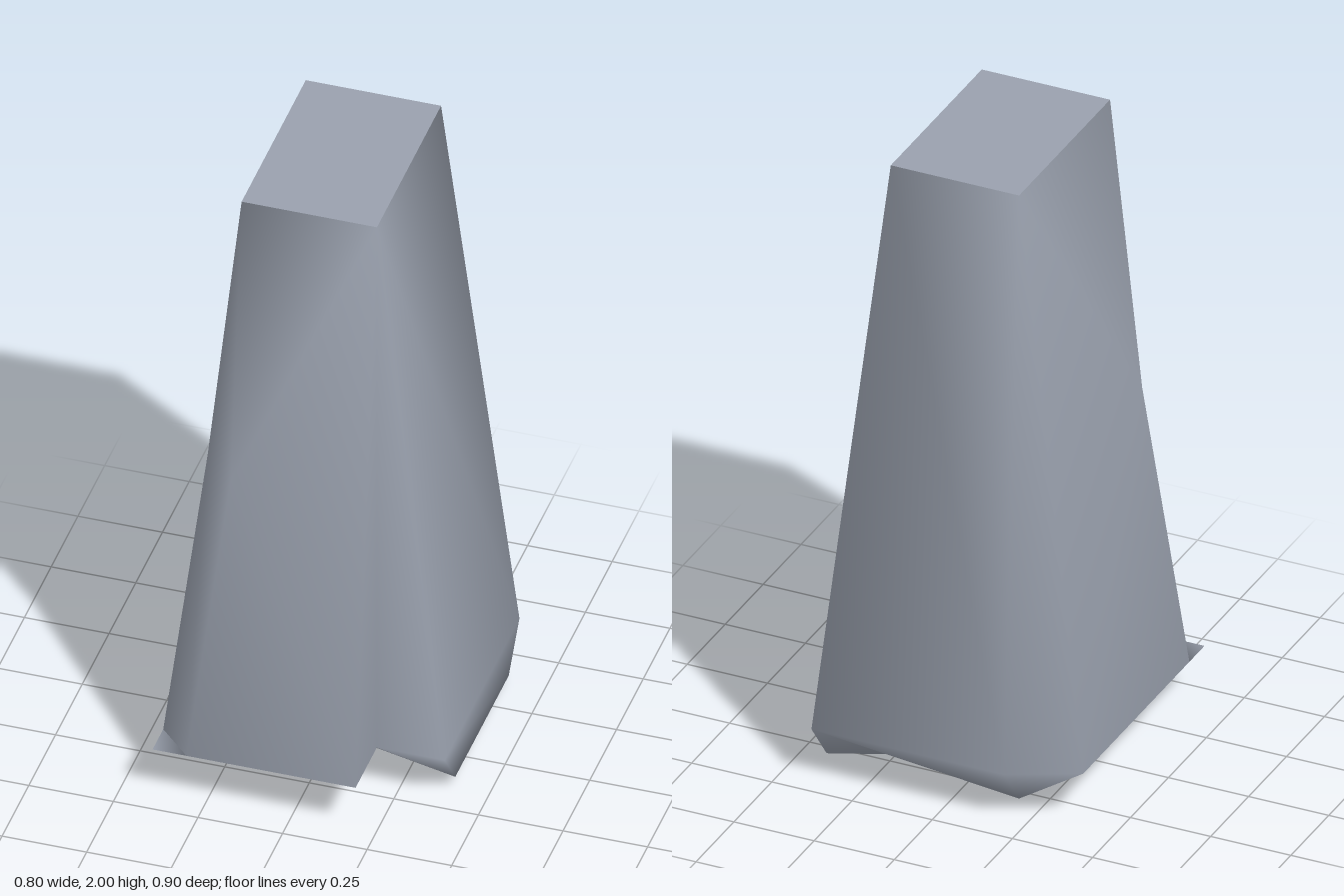
import * as THREE from 'three';

// Corner points of the tapered block, grouped by level
const P = {
  // top rectangle
  topFL: [-0.2, 2, 0.25], topFR: [0.2, 2, 0.25], topBR: [0.2, 2, -0.35], topBL: [-0.2, 2, -0.35],
  // middle of the widening front chamfer
  midL: [-0.3, 1.09, 0.25], midF: [-0.2, 1.09, 0.35],
  // widest ring, with a flat tip at one corner and a notch at the next
  ringL: [-0.4, 0.17, 0.35], tip: [-0.4, 0.17, 0.45], ringF: [-0.3, 0.17, 0.45],
  notchF: [0.2, 0.17, 0.45], notch: [0.2, 0.17, 0.25], notchR: [0.4, 0.17, 0.25],
  ringBR: [0.4, 0.17, -0.45], ringB: [-0.2, 0.17, -0.45], ringBL: [-0.4, 0.17, -0.35],
  // lower ring under the bevel
  lowFL: [-0.2, 0.04, 0.25], lowF: [0, 0.04, 0.25], lowN: [0, 0.04, 0.05],
  lowR: [0.4, 0.04, 0.15], lowBR: [0.4, 0.04, -0.35], lowBL: [-0.2, 0.04, -0.35],
  // lowest ridge
  footL: [0, 0, -0.1], footR: [0.2, 0, -0.1],
};

// Smooth surface from polygons, each fanned out from its first corner
function surface(name, polygons, material) {
  const names = Object.keys(P);
  const index = [];
  for (const polygon of polygons) {
    const ids = polygon.split(' ').map((n) => names.indexOf(n));
    for (let i = 1; i < ids.length - 1; i++) index.push(ids[0], ids[i], ids[i + 1]);
  }
  const geometry = new THREE.BufferGeometry();
  geometry.setAttribute('position', new THREE.Float32BufferAttribute(Object.values(P).flat(), 3));
  geometry.setIndex(index);
  geometry.computeVertexNormals();
  const mesh = new THREE.Mesh(geometry, material);
  mesh.name = name;
  return mesh;
}

export function createModel() {
  const stone = new THREE.MeshStandardMaterial({ color: 0x9aa1ae });
  stone.name = 'blue grey stone';
  const group = new THREE.Group();
  group.name = 'taperedBlock';

  group.add(surface('body', [
    // walls
    'midF ringF notchF topFR topFL',
    'midL topFL topBL ringBL ringL',
    'topFR notchR ringBR topBR',
    'topBR ringBR ringB topBL',
    'topBL ringB ringBL',
    // front chamfer and flat tip
    'topFL midL midF',
    'midL ringL ringF midF',
    'ringL tip ringF',
    // notch
    'topFR notchF notch',
    'topFR notch notchR',
    // lower bevel
    'lowFL lowF notchF ringF tip',
    'lowFL tip ringL ringBL lowBL',
    'notchF lowF lowN notch',
    'notch lowN lowR notchR',
    'notchR lowR lowBR ringBR',
    'ringBR lowBR footL lowBL ringB',
    'ringB lowBL ringBL',
    // underside
    'footL footR lowR lowN lowF lowFL lowBL',
    'footR lowBR lowR',
    'footL lowBR footR',
  ], stone));

  // sharp-edged flat top
  group.add(surface('topCap', ['topFL topFR topBR topBL'], stone));
  return group;
}
